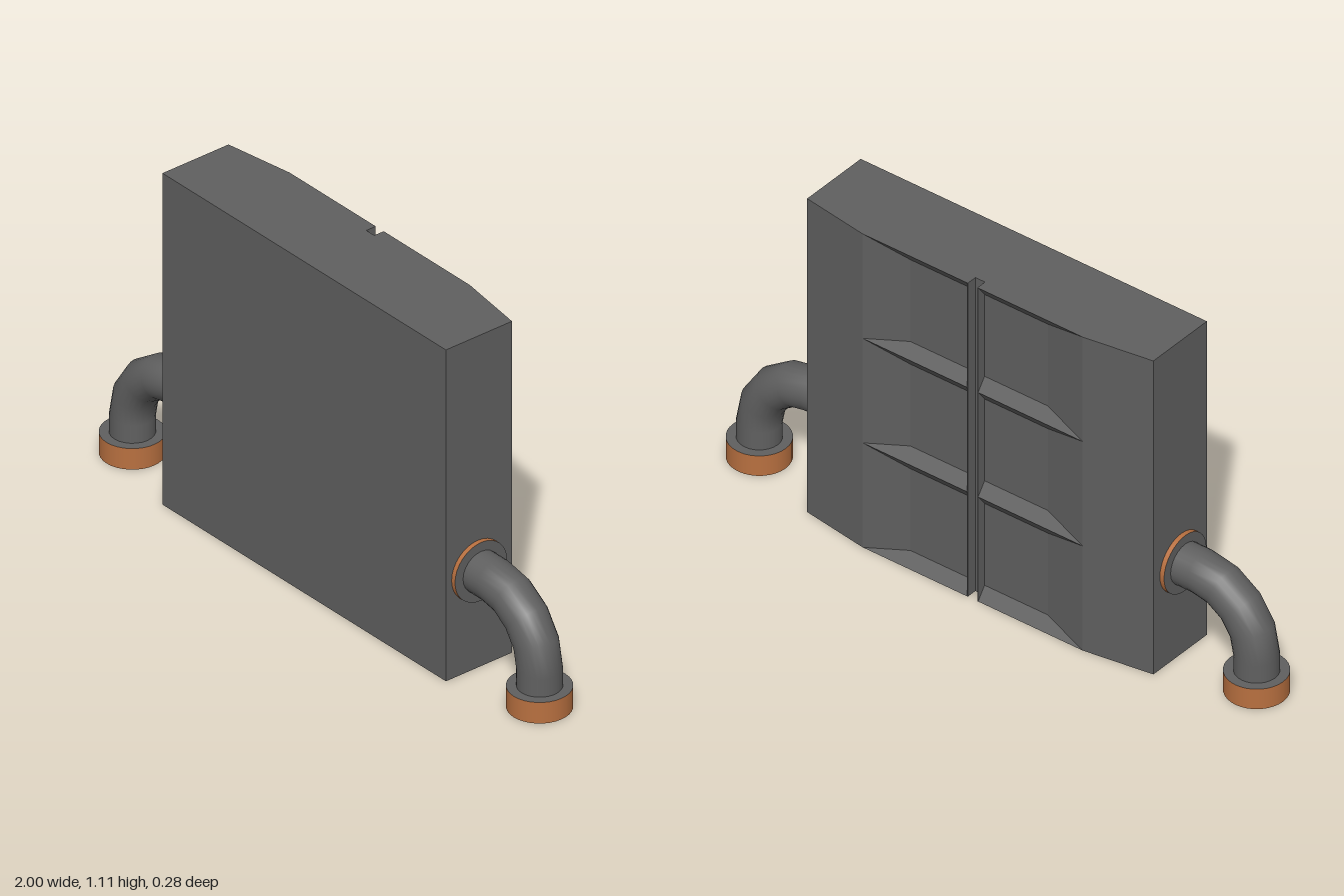
import * as THREE from 'three';

const W = 0.63, H = 1.105, BACK = 0.14, FLOOR = 0.11; // half width, height, depths behind centre
const X_IN = 0.02, X_OUT = 0.4, X_FLOOR = 0.25, INSET = 0.04;

// Flat-faced panel: plan outline with a rear groove, and six sunken pockets in the back
function panelGeometry() {
  const pos = [];
  const quad = (a, b, c, d) => pos.push(...a, ...b, ...c, ...a, ...c, ...d);
  const outline = [
    [-W, -BACK], [W, -BACK], [W, 0.105], [X_OUT, BACK], [X_IN, BACK], [0.0175, BACK], [0.0175, 0.105],
    [-0.0175, 0.105], [-0.0175, BACK], [-X_IN, BACK], [-X_OUT, BACK], [-W, 0.105],
  ].map(([x, v]) => new THREE.Vector2(x, v));
  const at = (p, y) => [p.x, y, -p.y];

  // side walls, leaving the back open where the pockets go
  outline.forEach((p, i) => {
    const q = outline[(i + 1) % outline.length];
    const pocketed = p.y === BACK && q.y === BACK && Math.abs(p.x - q.x) > 0.3;
    if (!pocketed) quad(at(p, 0), at(q, 0), at(q, H), at(p, H));
  });

  // top and bottom
  for (const [a, b, c] of THREE.ShapeUtils.triangulateShape(outline, [])) {
    pos.push(...at(outline[a], H), ...at(outline[b], H), ...at(outline[c], H));
    pos.push(...at(outline[c], 0), ...at(outline[b], 0), ...at(outline[a], 0));
  }

  // pockets with sloping edges, three on each side of the groove
  for (const s of [1, -1]) {
    for (let row = 0; row < 3; row++) {
      const y0 = (row * H) / 3, y1 = ((row + 1) * H) / 3;
      const ring = (xo, inset, depth) => {
        const r = [[xo, y0 + inset], [X_IN, y0 + inset], [X_IN, y1 - inset], [xo, y1 - inset]]
          .map(([x, y]) => [s * x, y, -depth]);
        return s > 0 ? r : r.reverse();
      };
      const rim = ring(X_OUT, 0, BACK), floor = ring(X_FLOOR, INSET, FLOOR);
      quad(...floor);
      for (let i = 0; i < 4; i++) {
        const j = (i + 1) % 4;
        quad(rim[i], rim[j], floor[j], floor[i]);
      }
    }
  }
  const g = new THREE.BufferGeometry();
  g.setAttribute('position', new THREE.Float32BufferAttribute(pos, 3));
  g.computeVertexNormals();
  return g;
}

export function createModel() {
  const model = new THREE.Group();
  model.name = 'panelWithPipes';
  const grey = new THREE.MeshStandardMaterial({ color: 0x606060 });
  const copper = new THREE.MeshStandardMaterial({ color: 0xb87040 });
  const banded = [copper, grey, grey]; // copper rim, grey end faces

  const add = (parent, name, geometry, material, x = 0, y = 0) => {
    const mesh = new THREE.Mesh(geometry, material);
    mesh.name = name;
    mesh.position.set(x, y, 0);
    parent.add(mesh);
    return mesh;
  };

  add(model, 'panel', panelGeometry(), grey);

  // one elbow pipe per side, turned half round for the other
  const R = 0.2, r = 0.067, bendX = 0.705, bendY = 0.127;
  for (const [name, turn] of [['leftPipe', 0], ['rightPipe', Math.PI]]) {
    const pipe = new THREE.Group();
    pipe.name = name;
    pipe.position.z = 0.022;
    pipe.rotation.y = turn;

    add(pipe, 'flange', new THREE.CylinderGeometry(0.097, 0.097, 0.025, 32), banded, 0.6325, bendY + R)
      .rotation.z = -Math.PI / 2;
    add(pipe, 'pipeInlet', new THREE.CylinderGeometry(r, r, 0.085, 24, 1, true), grey, bendX - 0.0425, bendY + R)
      .rotation.z = -Math.PI / 2;
    add(pipe, 'pipeElbow', new THREE.TorusGeometry(R, r, 24, 4, Math.PI / 2), grey, bendX, bendY);
    add(pipe, 'pipeOutlet', new THREE.CylinderGeometry(r, r, bendY - 0.05, 24, 1, true), grey,
      bendX + R, (bendY + 0.05) / 2);
    add(pipe, 'endCap', new THREE.CylinderGeometry(0.096, 0.096, 0.07, 32), banded, bendX + R, 0.035);
    model.add(pipe);
  }
  return model;
}
